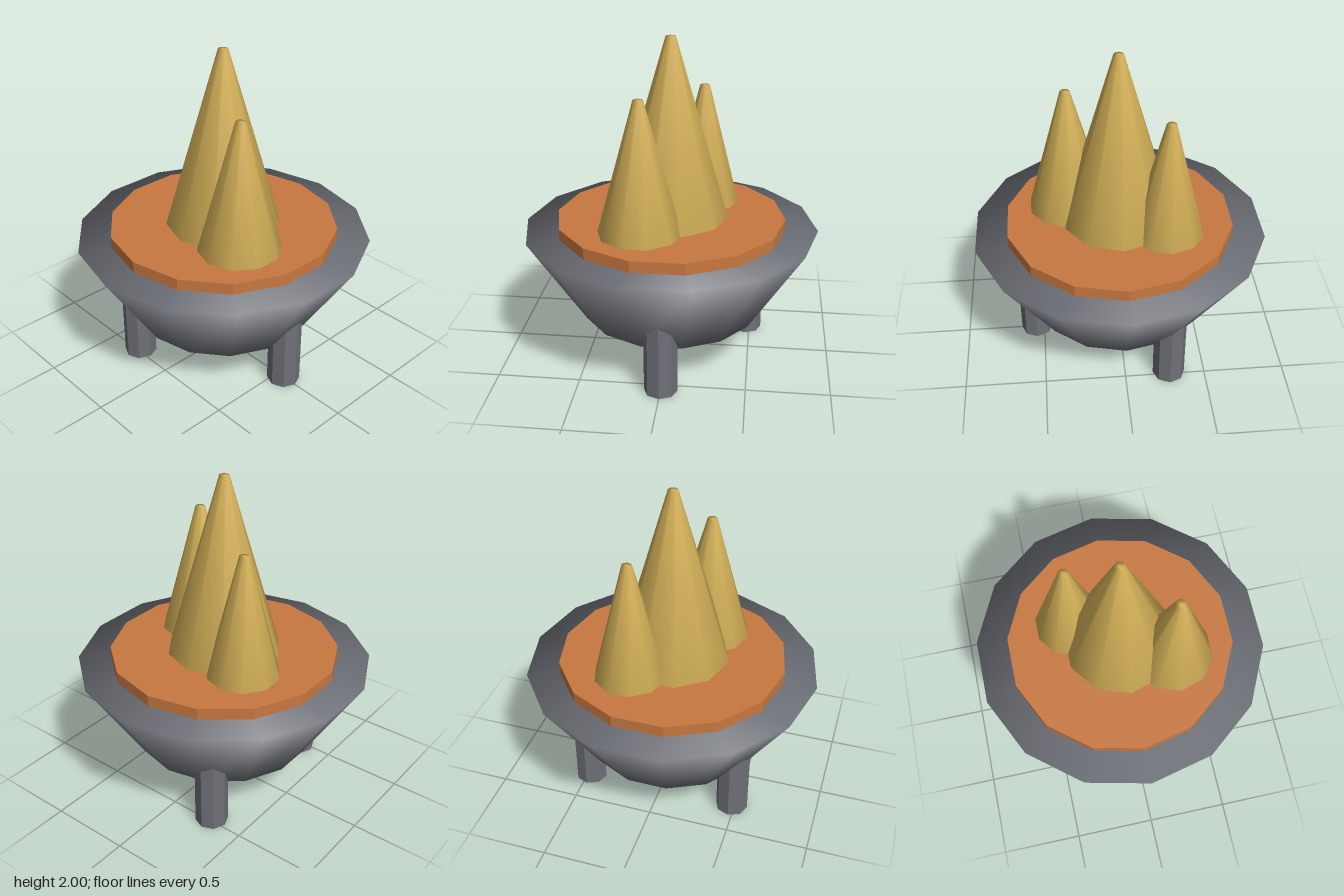
import * as THREE from 'three';
import { mergeVertices } from 'three/addons/utils/BufferGeometryUtils.js';

const mat = (name, color, flatShading = false) => {
  const m = new THREE.MeshStandardMaterial({ color, flatShading });
  m.name = name;
  return m;
};

// Closed frustum standing on y = 0, with vertices shared by caps and sides when soft
function frustum(rTop, rBottom, height, sides, soft) {
  let g = new THREE.CylinderGeometry(rTop, rBottom, height, sides);
  g.translate(0, height / 2, 0);
  if (soft) {
    g.deleteAttribute('normal');
    g.deleteAttribute('uv');
    g = mergeVertices(g, 1e-4);
    g.computeVertexNormals();
  }
  return g;
}

export function createModel() {
  const model = new THREE.Group();
  model.name = 'fireBowl';

  const iron = mat('iron grey', 0x6e7178);
  iron.flatShading = false;
  const ember = mat('ember orange', 0xc87840, true);
  const flameGold = mat('flame gold', 0xd8b45a);

  const add = (name, geometry, material, x, y, z) => {
    const mesh = new THREE.Mesh(geometry, material);
    mesh.name = name;
    mesh.position.set(x, y, z);
    model.add(mesh);
  };

  // Bowl and the ember disc resting on it
  add('bowl', frustum(0.9, 0.55, 0.55, 14, true), iron, 0, 0.28, 0);
  add('emberDisc', frustum(0.7, 0.7, 0.07, 14), ember, 0, 0.83, 0);

  // Three faceted legs, sunk into the bowl; split vertices keep their edges sharp
  const legGeometry = frustum(0.1, 0.1, 0.5, 8).toNonIndexed();
  legGeometry.computeVertexNormals();
  for (let i = 0; i < 3; i++) {
    const a = (i * Math.PI * 2) / 3;
    add(`leg${i + 1}`, legGeometry, iron, 0.55 * Math.cos(a), 0, 0.55 * Math.sin(a));
  }

  // Flames: name, x, z, base radius, height
  for (const [name, x, z, r, h] of [
    ['middleFlame', 0, 0, 0.35, 1.1],
    ['leftFlame', 0.3, 0.15, 0.25, 0.8],
    ['rightFlame', -0.28, -0.18, 0.22, 0.75],
  ]) add(name, frustum(0.03, r, h, 10, true), flameGold, x, 0.9, z);

  return model;
}
